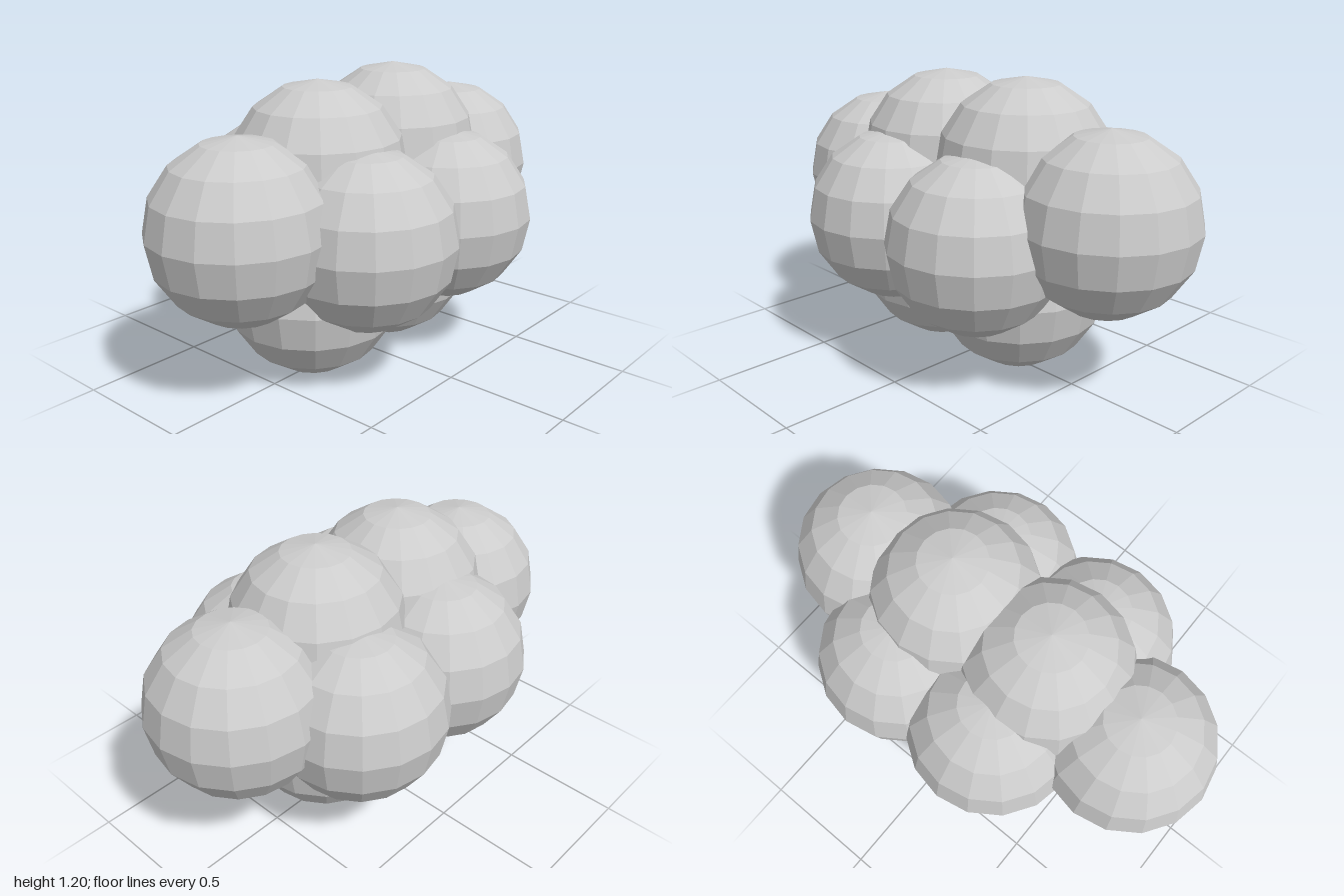
import * as THREE from 'three';

export function createModel() {
  const group = new THREE.Group();
  const material = new THREE.MeshStandardMaterial({ color: 0xcccccc, flatShading: true });
  // One faceted ball shared by the whole cluster
  const ball = new THREE.SphereGeometry(0.353, 16, 8);

  // Name and centre of each ball
  const balls = [
    ['leftEndBall', 0.645, 0.71, 0],
    ['rightEndBall', -0.645, 0.68, 0],
    ['topLeftBall', 0.227, 0.847, 0],
    ['topRightBall', -0.23, 0.829, 0],
    ['frontLeftBall', 0.245, 0.598, 0.275],
    ['frontRightBall', -0.256, 0.608, 0.272],
    ['backLeftBall', 0.292, 0.626, -0.277],
    ['backRightBall', -0.189, 0.638, -0.277],
    ['bottomLeftBall', 0.202, 0.363, 0],
    ['bottomRightBall', -0.272, 0.354, 0],
  ];
  for (const [name, x, y, z] of balls) {
    const mesh = new THREE.Mesh(ball, material);
    mesh.name = name;
    mesh.position.set(x, y, z);
    group.add(mesh);
  }
  return group;
}
